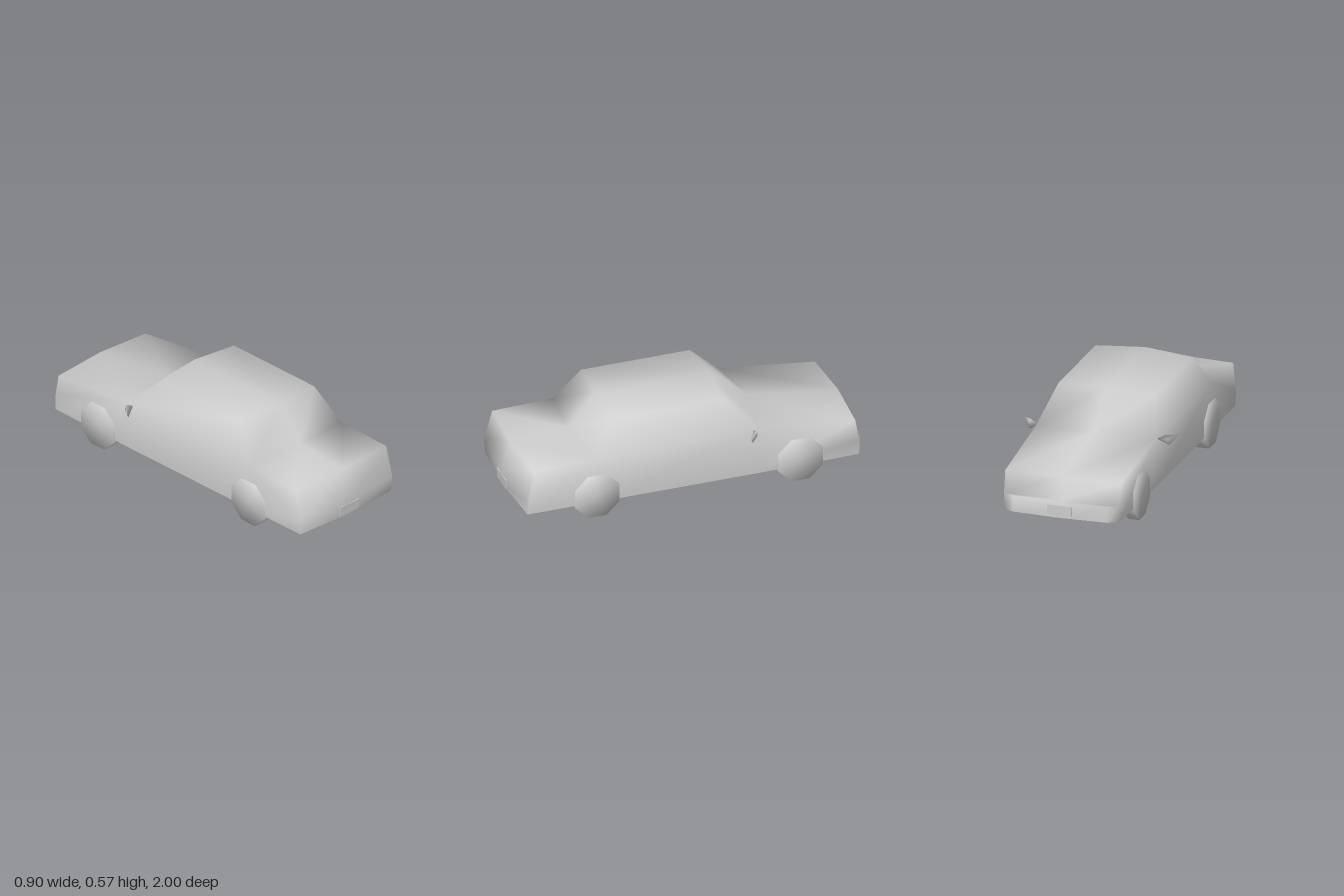
import * as THREE from 'three';
import { mergeVertices } from 'three/addons/utils/BufferGeometryUtils.js';

const paint = new THREE.MeshStandardMaterial({ color: 0xcccccc, side: THREE.DoubleSide });
paint.name = 'greyPaint';

function add(group, name, geometry) {
  const mesh = new THREE.Mesh(geometry, paint);
  mesh.name = name;
  group.add(mesh);
  return mesh;
}

// Smooth mesh from points [x, y, z] and convex polygons
function polyhedron(points, polygons) {
  const index = [];
  for (const p of polygons)
    for (let i = 1; i < p.length - 1; i++) index.push(p[0], p[i], p[i + 1]);
  const g = new THREE.BufferGeometry();
  g.setAttribute('position', new THREE.Float32BufferAttribute(points.flat(), 3));
  g.setIndex(index);
  g.computeVertexNormals();
  return g;
}

// Hollow shell: a centre line and an edge line run over the car, sides hang below
function bodyGeometry() {
  // centre y, z | edge x, y, z
  const rows = [
    [0.088, 0.99, 0.347, 0.088, 0.968],   // tail bottom
    [0.18, 1.0, 0.347, 0.18, 0.978],      // tail bulge
    [0.355, 0.948, 0.347, 0.352, 0.93],   // boot lip
    [0.375, 0.614, 0.347, 0.362, 0.58],   // rear window base
    [0.57, 0.458, 0.28, 0.554, 0.437],    // roof rear
    [0.57, -0.212, 0.28, 0.556, -0.19],   // roof front
    [0.386, -0.42, 0.345, 0.368, -0.38],  // windscreen base
    [0.314, -0.952, 0.333, 0.306, -0.936],// bonnet lip
    [0.18, -0.968, 0.333, 0.18, -0.957],  // nose base
    [0.18, -0.997, 0.27, 0.18, -0.986],   // bumper top
    [0.088, -0.997, 0.27, 0.088, -0.986], // bumper bottom
  ];
  const n = rows.length;
  const points = rows.map(([y, z]) => [0, y, z]);
  const sills = [[0.347, 0.088, 0.58], [0.345, 0.088, -0.38], [0.333, 0.088, -0.957]];
  const edge = rows.map((r) => r.slice(2)).concat(sills);
  const polygons = [];
  for (const s of [1, -1]) {
    const o = points.length;
    for (const [x, y, z] of edge) points.push([s * x, y, z]);
    const face = (...p) => polygons.push(s > 0 ? p : p.reverse());
    for (let i = 0; i < n - 1; i++) face(i, o + i, o + i + 1, i + 1);
    const [b3, b6, d] = [n, n + 1, n + 2];
    const sides = [
      [3, 6, 5, 4],        // cabin side
      [b3, b6, 6, 3],      // door
      [0, b3, 3, 2, 1],    // rear wing
      [b6, d, 8, 7, 6],    // front wing
      [d, 10, 9, 8],       // bumper corner
    ];
    for (const p of sides) face(...p.map((k) => o + k));
  }
  return polyhedron(points, polygons);
}

// Pointed mirror housing for one side
function mirrorGeometry(s) {
  const points = [
    [0.342, 0.36, -0.345], [0.39, 0.388, -0.343], [0.452, 0.377, -0.288],
    [0.403, 0.322, -0.318], [0.4, 0.362, -0.348],
  ].map(([x, y, z]) => [s * x, y, z]);
  const faces = [[0, 3, 2, 1], [0, 1, 4], [1, 2, 4], [2, 3, 4], [3, 0, 4]];
  return polyhedron(points, s > 0 ? faces : faces.map((f) => f.reverse()));
}

// Eight-sided wheel with soft normals
function wheelGeometry(width) {
  const g = new THREE.CylinderGeometry(0.139, 0.139, width, 8);
  g.rotateY(Math.PI / 8);
  g.rotateZ(Math.PI / 2);
  g.deleteAttribute('normal');
  g.deleteAttribute('uv');
  const soft = mergeVertices(g, 1e-4);
  soft.computeVertexNormals();
  return soft;
}

export function createModel() {
  const car = new THREE.Group();
  car.name = 'car';
  add(car, 'body', bodyGeometry());

  for (const [s, side] of [[1, 'left'], [-1, 'right']]) {
    add(car, side + 'Mirror', mirrorGeometry(s));
    add(car, side + 'TailWheel', wheelGeometry(0.072)).position.set(s * 0.316, 0.1285, 0.565);
    add(car, side + 'NoseWheel', wheelGeometry(0.064)).position.set(s * 0.317, 0.1285, -0.614);
  }

  // Blank number plates
  const plate = new THREE.BoxGeometry(0.14, 0.054, 0.008);
  add(car, 'tailPlate', plate).position.set(0, 0.132, 0.996);
  add(car, 'nosePlate', plate).position.set(0, 0.132, -0.996);
  return car;
}
